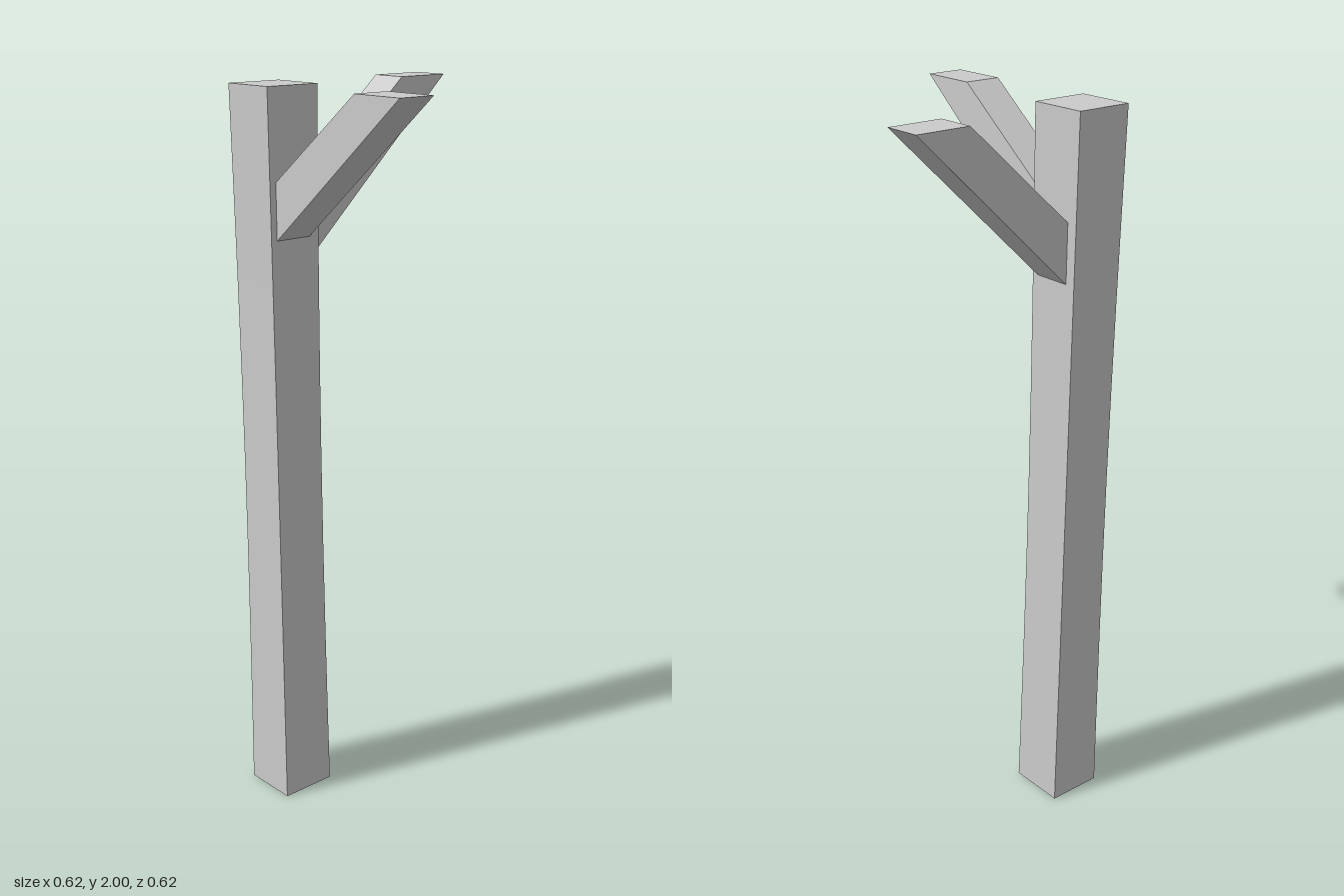
import * as THREE from 'three';

const material = new THREE.MeshStandardMaterial({ color: 0xcccccc, flatShading: true });

// Square timber, very slightly waisted halfway up
function makePost() {
  const geometry = new THREE.BoxGeometry(0.16, 2, 0.16, 1, 8, 1);
  const p = geometry.attributes.position;
  for (let i = 0; i < p.count; i++) {
    const s = 1 - 0.065 * Math.cos(p.getY(i) * Math.PI / 2);
    p.setX(i, p.getX(i) * s);
    p.setZ(i, p.getZ(i) * s);
  }
  geometry.computeVertexNormals();
  const post = new THREE.Mesh(geometry, material);
  post.name = 'post';
  post.position.set(-0.232, 1, 0.232);
  return post;
}

// Slanted strut: side profile running outward along +x, cut level at the top
function makeBrace(name, innerX, lowY, highY, tipInner, tipOuter) {
  const shape = new THREE.Shape([
    new THREE.Vector2(innerX, lowY),
    new THREE.Vector2(tipOuter, 2),
    new THREE.Vector2(tipInner, 2),
    new THREE.Vector2(innerX, highY),
  ]);
  const geometry = new THREE.ExtrudeGeometry(shape, { depth: 0.106, bevelEnabled: false });
  const brace = new THREE.Mesh(geometry, material);
  brace.name = name;
  return brace;
}

export function createModel() {
  const group = new THREE.Group();
  group.name = 'cornerPost';
  group.add(makePost());

  // Brace reaching to the left
  const sideBrace = makeBrace('sideBrace', -0.158, 1.612, 1.76, 0.153, 0.311);
  sideBrace.position.z = 0.185;
  group.add(sideBrace);

  // Brace reaching to the back, its profile turned from +x to -z
  const backBrace = makeBrace('backBrace', -0.158, 1.562, 1.72, 0.158, 0.313);
  backBrace.rotation.y = Math.PI / 2;
  backBrace.position.x = -0.28;
  group.add(backBrace);

  return group;
}
